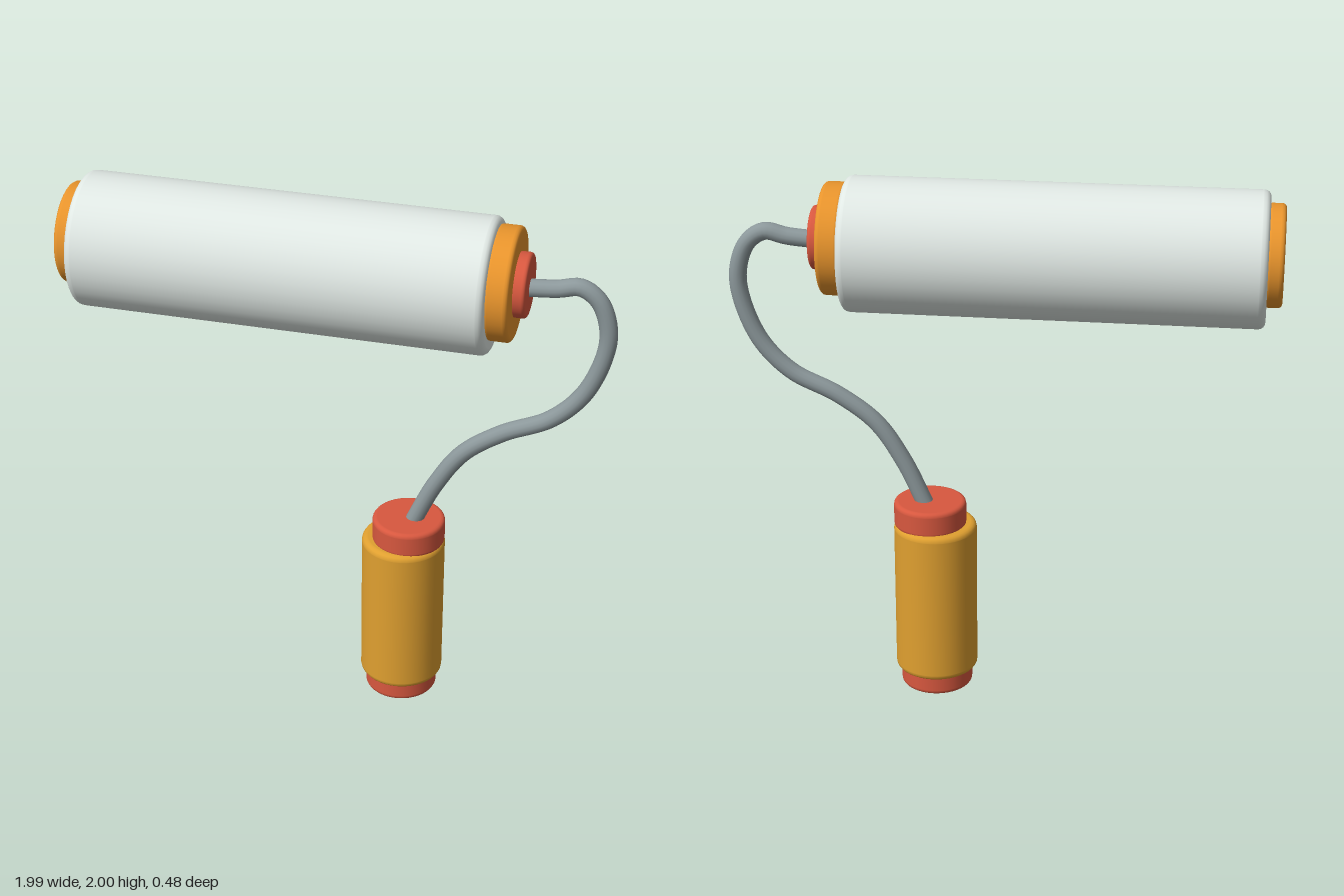
import * as THREE from 'three';

const ROLLER = 0xe0e8e4, ORANGE = 0xe8942c, GRIP = 0xe0a030, RED = 0xd8583f, STEEL = 0x8c989b;

// Solid drum from y = 0 to y = length with rounded rims
function drum(radius, length, bevel) {
  const profile = [new THREE.Vector2(0, 0), new THREE.Vector2(radius - bevel - 0.002, 0)];
  const steps = 4;
  for (const end of [0, 1]) {
    for (let i = 0; i <= steps; i++) {
      const a = (end ? 0 : -Math.PI / 2) + (i / steps) * Math.PI / 2;
      const cy = end ? length - bevel : bevel;
      profile.push(new THREE.Vector2(radius - bevel + Math.cos(a) * bevel, cy + Math.sin(a) * bevel));
    }
    // extra ring keeps the wall straight beside the rounding
    if (!end) profile.push(new THREE.Vector2(radius, bevel + 0.002), new THREE.Vector2(radius, length - bevel - 0.002));
  }
  profile.push(new THREE.Vector2(radius - bevel - 0.002, length), new THREE.Vector2(0, length));
  return new THREE.LatheGeometry(profile, 40);
}

function part(name, geometry, color) {
  const mesh = new THREE.Mesh(geometry, new THREE.MeshStandardMaterial({ color }));
  mesh.name = name;
  return mesh;
}

export function createModel() {
  const model = new THREE.Group();
  model.name = 'paintRoller';

  // Roller parts lie along x: name, start x, end x, centre y, radius, bevel, colour
  const rollerParts = [
    ['rollerSleeve', -0.945, 0.555, 1.755, 0.245, 0.025, ROLLER],
    ['outerEndCap', -1, -0.935, 1.772, 0.183, 0.015, ORANGE],
    ['innerEndCap', 0.545, 0.632, 1.772, 0.203, 0.015, ORANGE],
    ['axleHub', 0.62, 0.675, 1.774, 0.115, 0.012, RED],
  ];
  for (const [name, x0, x1, y, radius, bevel, color] of rollerParts) {
    const mesh = part(name, drum(radius, x1 - x0, bevel), color);
    mesh.rotation.z = -Math.PI / 2;
    mesh.position.set(x0, y, -0.005);
    if (name === 'rollerSleeve') mesh.scale.z = 0.97;
    model.add(mesh);
  }

  // Handle parts stand upright: name, bottom, top, centre x, radius, bevel, colour
  const handleParts = [
    ['handleGrip', 0.07, 0.672, 0.245, 0.155, 0.02, GRIP],
    ['handleCollar', 0.66, 0.76, 0.264, 0.135, 0.015, RED],
    ['handleButt', 0, 0.085, 0.245, 0.135, 0.015, RED],
  ];
  for (const [name, y0, y1, x, radius, bevel, color] of handleParts) {
    const mesh = part(name, drum(radius, y1 - y0, bevel), color);
    mesh.position.set(x, y0, -0.003);
    model.add(mesh);
  }

  // Bent wire from the collar to the hub
  const path = [
    [0.275, 0.73], [0.36, 0.915], [0.46, 1.065], [0.6, 1.17], [0.77, 1.255], [0.88, 1.37],
    [0.945, 1.53], [0.953, 1.64], [0.915, 1.745], [0.85, 1.79], [0.77, 1.775], [0.66, 1.765],
  ].map(([x, y]) => new THREE.Vector3(x, y, -0.005));
  const wire = new THREE.TubeGeometry(new THREE.CatmullRomCurve3(path), 90, 0.032, 14);
  model.add(part('wireFrame', wire, STEEL));

  return model;
}
